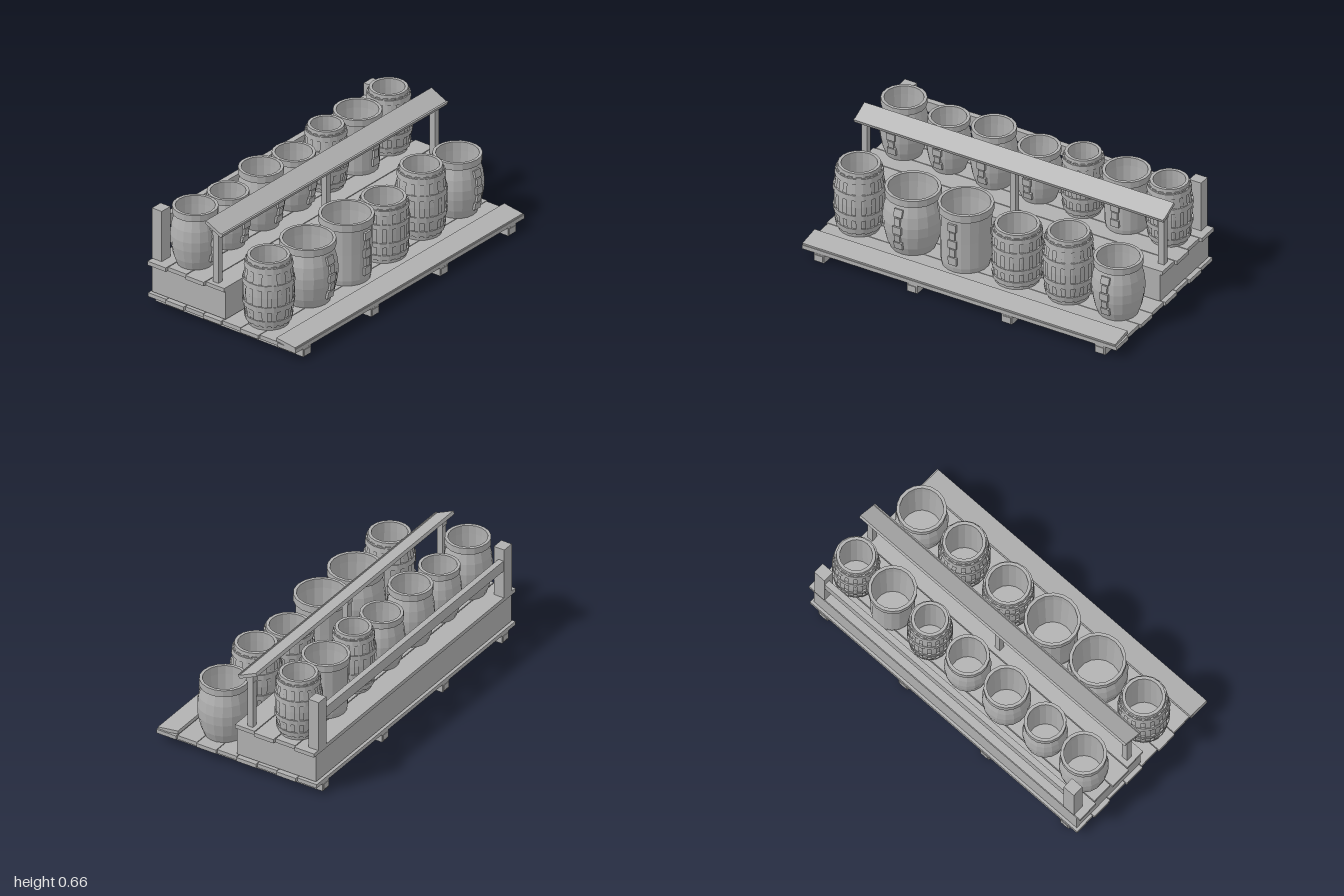
import * as THREE from 'three';

const wood = new THREE.MeshStandardMaterial({ color: 0xb0b0b0 });
wood.name = 'plain grey';

function add(parent, geometry, name, x = 0, y = 0, z = 0) {
  const mesh = new THREE.Mesh(geometry, wood);
  mesh.name = name;
  mesh.position.set(x, y, z);
  parent.add(mesh);
  return mesh;
}

const box = (parent, name, w, h, d, x, y, z) =>
  add(parent, new THREE.BoxGeometry(w, h, d), name, x, y, z);

// Faceted surface of revolution; a part turn makes a single stave
function turned(points, sides, start = 0, length = Math.PI * 2) {
  const geo = new THREE.LatheGeometry(points.map(p => new THREE.Vector2(...p)), sides, start, length).toNonIndexed();
  geo.computeVertexNormals();
  return geo;
}

// Relative outlines, bottom to top: [share of radius, share of height]
const OUTLINES = {
  pot: [[0.74, 0], [0.88, 0.15], [0.98, 0.36], [1, 0.52], [0.95, 0.7], [0.84, 0.87], [0.93, 0.885], [0.93, 1]],
  bucket: [[0.86, 0], [0.9, 0.08], [0.91, 0.5], [0.93, 0.87], [1, 0.885], [1, 1]],
  staved: [[0.8, 0], [0.88, 0.15], [0.94, 0.33], [0.96, 0.5], [0.94, 0.68], [0.88, 0.85], [0.83, 1]],
  tub: [[0.88, 0], [0.91, 0.15], [0.93, 0.33], [0.94, 0.5], [0.94, 0.68], [0.92, 0.85], [0.88, 1]],
};

function barrel(type, x, y, z, R, h) {
  const group = new THREE.Group();
  group.name = type + 'Barrel';
  group.position.set(x, y, z);
  const outline = OUTLINES[type].map(([r, t]) => [r * R, t * h]);
  const radiusAt = v => {
    let i = 1;
    while (i < outline.length - 1 && outline[i][1] < v) i++;
    const [a, b] = [outline[i - 1], outline[i]];
    return THREE.MathUtils.lerp(a[0], b[0], (v - a[1]) / (b[1] - a[1]));
  };

  // Hollow body with an inside wall and floor
  const topR = outline[outline.length - 1][0] - 0.018;
  add(group, turned([[0, 0], ...outline, [topR, h], [topR, h * 0.85], [R * 0.74, 0.03], [0, 0.03]], 18), 'body');

  if (type === 'staved' || type === 'tub') {
    // Raised staves follow the bulge
    const heights = [0.05, 0.15, 0.33, 0.5, 0.68, 0.85, 0.95].map(t => t * h);
    const profile = [
      [radiusAt(heights[0]) - 0.004, heights[0]],
      ...heights.map(v => [radiusAt(v) + 0.006, v]),
      [radiusAt(heights[6]) - 0.004, heights[6]],
    ];
    for (let i = 0; i < 16; i++) {
      add(group, turned(profile, 1, i / 16 * Math.PI * 2, 0.24), 'stave');
    }
    // Hoops
    for (const [a, b] of [[0.07, 0.15], [0.29, 0.37], [0.61, 0.69], [0.85, 0.93]]) {
      const [ra, rb] = [radiusAt(a * h), radiusAt(b * h)];
      add(group, turned([[ra - 0.01, a * h], [ra + 0.01, a * h], [rb + 0.01, b * h], [rb - 0.01, b * h]], 18), 'hoop');
    }
  } else {
    // Column of clasp plates down the front
    for (let i = 0; i < 5; i++) {
      const v = h * (0.2 + i * 0.14);
      const lean = Math.atan2(radiusAt(v - 0.02) - radiusAt(v + 0.02), 0.04);
      const plate = box(group, 'clasp', i % 2 ? 0.035 : 0.052, h * 0.125, 0.014, 0, v, radiusAt(v) + 0.003);
      plate.rotation.x = -lean;
    }
  }
  return group;
}

export function createModel() {
  const model = new THREE.Group();
  model.name = 'barrelStand';

  // Pallet base
  for (const x of [-0.89, -0.3, 0.3, 0.89]) {
    box(model, 'bearer', 0.066, 0.05, 1.03, x, 0.03, 0);
    for (const z of [-0.515, 0.515]) box(model, 'bearerEnd', 0.05, 0.035, 0.008, x, 0.03, z);
  }
  for (let i = 0; i < 8; i++) {
    box(model, 'basePlank', i % 2 ? 1.97 : 1.99, 0.024, 0.126, 0, 0.07, 0.455 - i * 0.13);
  }
  const lip = box(model, 'frontLip', 1.98, 0.02, 0.132, -0.005, 0.092, 0.449);
  lip.rotation.x = 0.14;

  // Raised step with plank top
  box(model, 'stepBox', 1.94, 0.175, 0.515, 0, 0.175, -0.246);
  for (let i = 0; i < 4; i++) {
    box(model, 'shelfPlank', i % 2 ? 2 : 1.97, 0.024, 0.127, 0, 0.273, -0.05 - i * 0.132);
  }

  // Front rail: posts, caps and slanted board
  for (const x of [-0.94, 0, 0.94]) {
    box(model, 'frontPost', 0.036, 0.3, 0.036, x, 0.43, -0.067);
    box(model, 'postCap', 0.045, 0.04, 0.045, x, 0.594, -0.067);
  }
  const board = box(model, 'slantedBoard', 1.96, 0.02, 0.125, 0, 0.623, -0.066);
  board.rotation.x = 0.44;
  const edge = box(model, 'boardEdge', 1.96, 0.024, 0.01, 0, 0.601, -0.011);
  edge.rotation.x = 0.44;

  // Back rail
  for (const x of [-0.92, 0.92]) {
    box(model, 'backPost', 0.075, 0.31, 0.068, x, 0.44, -0.479);
  }
  box(model, 'backRail', 1.78, 0.065, 0.034, 0, 0.49, -0.492);

  // Front row: type, x, radius, height
  const frontRow = [
    ['staved', -0.825, 0.143, 0.413], ['pot', -0.485, 0.168, 0.372], ['bucket', -0.15, 0.155, 0.385],
    ['tub', 0.175, 0.143, 0.352], ['staved', 0.5, 0.143, 0.413], ['pot', 0.815, 0.148, 0.352],
  ];
  for (const [type, x, r, h] of frontRow) model.add(barrel(type, x, 0.082, 0.195, r, h));

  // Back row
  const backRow = [
    ['pot', -0.84, 0.137, 0.35], ['pot', -0.555, 0.125, 0.32], ['pot', -0.27, 0.135, 0.35],
    ['pot', 0.016, 0.13, 0.32], ['staved', 0.295, 0.123, 0.377], ['bucket', 0.57, 0.135, 0.35],
    ['staved', 0.84, 0.13, 0.377],
  ];
  for (const [type, x, r, h] of backRow) model.add(barrel(type, x, 0.285, -0.305, r, h));

  return model;
}
